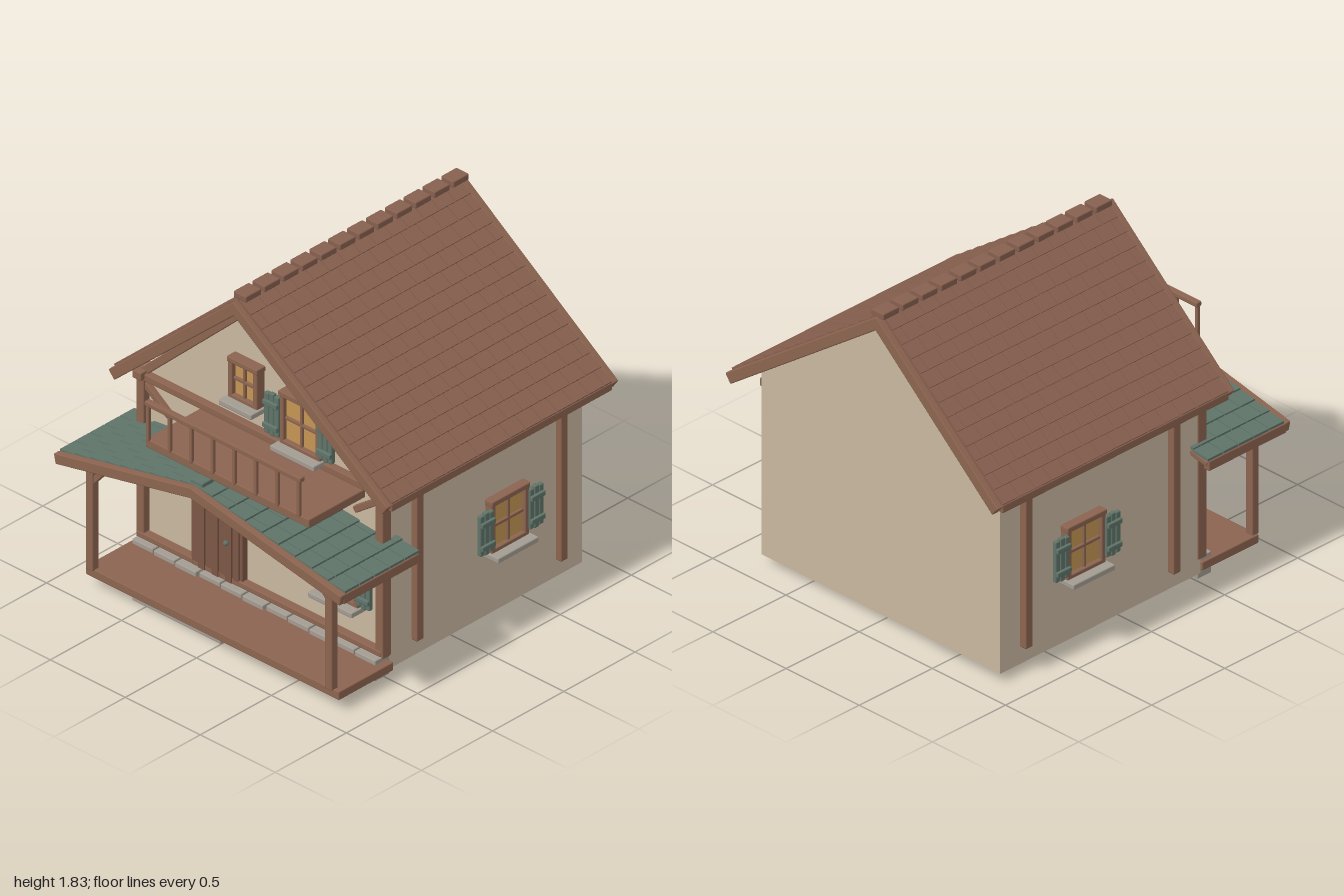
import * as THREE from 'three';
import { mergeGeometries } from 'three/addons/utils/BufferGeometryUtils.js';
import { RoundedBoxGeometry } from 'three/addons/geometries/RoundedBoxGeometry.js';

const paint = (name, color) => Object.assign(new THREE.MeshStandardMaterial({ color }), { name });

export function createModel() {
  const wall = paint('plaster', 0xc8b89f), wood = paint('timber', 0x8c6450);
  const tile = paint('clayTile', 0x87604f), green = paint('greenPaint', 0x5f7469);
  const stone = paint('stone', 0xa29c92), glow = paint('windowGlow', 0xc39453);
  const plankWood = paint('doorWood', 0x7c5644);

  const house = new THREE.Group();
  house.name = 'house';
  const add = (name, geo, mat, parent = house) => {
    const m = new THREE.Mesh(geo, mat);
    m.name = name;
    parent.add(m);
    return m;
  };
  // bevelled block given by its min and max on each axis
  const block = (name, mat, x0, x1, y0, y1, z0, z1, parent = house) => {
    const s = [x1 - x0, y1 - y0, z1 - z0];
    const m = add(name, new RoundedBoxGeometry(...s, 1, Math.min(0.006, Math.min(...s) * 0.25)), mat, parent);
    m.position.set((x0 + x1) / 2, (y0 + y1) / 2, (z0 + z1) / 2);
    return m;
  };
  // slanted beam between two points in the xy plane
  const beam = (name, mat, [ax, ay], [bx, by], thick, z0, z1) => {
    const l = Math.hypot(bx - ax, by - ay) / 2;
    const m = block(name, mat, -l, l, -thick / 2, thick / 2, z0, z1);
    m.position.x = (ax + bx) / 2;
    m.position.y = (ay + by) / 2;
    m.rotation.z = Math.atan2(by - ay, bx - ax);
    return m;
  };

  // plastered body with gable
  const outline = new THREE.Shape([[-0.83, 0.05], [0.8, 0.05], [0.8, 1.08], [-0.113, 1.735], [-0.83, 1.085]]
    .map(p => new THREE.Vector2(...p)));
  add('walls', new THREE.ExtrudeGeometry(outline, { depth: 1.371, bevelEnabled: false }), wall).position.z = -0.866;

  // one roof side: deck, staggered tiles and barge boards
  const roofSide = (name, [rx, ry], [ex, ey], z0, z1, rows, cols, mat, deck, board, ends) => {
    const len = Math.hypot(ex - rx, ey - ry), dx = (ex - rx) / len, dy = (ey - ry) / len;
    const s = Math.sign(dx), nx = -dy * s, ny = dx * s, a = Math.atan2(dy, dx);
    const at = (t, h) => [rx + dx * t + nx * h, ry + dy * t + ny * h];
    beam(name + 'Deck', wood, at(0, -deck / 2), at(len, -deck / 2), deck, z0, z1);
    for (const [b0, b1] of ends)
      beam(name + 'BargeBoard', wood, at(-0.01, -board / 2 + 0.012), at(len + 0.012, -board / 2 + 0.012), board, b0, b1);
    const parts = [], w = (z1 - z0) / cols, step = len / rows;
    for (let r = 0; r < rows; r++) {
      for (let c = 0; c <= cols; c++) {
        const shift = r % 2 ? 0.5 : 0;
        const za = Math.max(z0, z0 + (c - shift) * w), zb = Math.min(z1, z0 + (c + 1 - shift) * w);
        if (zb - za < 0.01) continue;
        const g = new THREE.BoxGeometry(step * 1.04, 0.016, zb - za - 0.005);
        g.rotateZ(a + s * 0.1);
        g.translate(...at((r + 0.5) * step, 0.009), (za + zb) / 2);
        parts.push(g);
      }
    }
    add(name + 'Tiles', mergeGeometries(parts), mat);
  };
  const ridgeCaps = (name, mat, x, y, w, z0, z1, n) => {
    const step = (z1 - z0) / n;
    for (let i = 0; i < n; i++)
      block(name, mat, x - w / 2, x + w / 2, y - 0.035, y, z0 + i * step + 0.012, z0 + (i + 1) * step - 0.012);
  };

  // main roof
  const mainEnds = [[0.588, 0.625], [-1, -0.96]];
  roofSide('leftRoof', [-0.113, 1.79], [0.9, 1.068], -0.96, 0.588, 14, 14, tile, 0.035, 0.06, mainEnds);
  roofSide('rightRoof', [-0.113, 1.79], [-0.93, 1.068], -0.96, 0.588, 13, 14, tile, 0.035, 0.06, mainEnds);
  ridgeCaps('ridgeCap', tile, -0.113, 1.832, 0.085, -1, 0.59, 12);
  for (const x of [-0.925, 0.893]) block('eaveBeam', wood, x - 0.018, x + 0.018, 1.03, 1.075, -0.96, 0.588);

  // porch roof
  const porchEnds = [[0.955, 0.995]];
  roofSide('leftPorchRoof', [-0.05, 0.93], [0.945, 0.743], 0.435, 0.96, 9, 5, green, 0.03, 0.058, porchEnds);
  roofSide('rightPorchRoof', [-0.05, 0.93], [-0.945, 0.743], 0.435, 0.96, 9, 5, green, 0.03, 0.058, porchEnds);
  ridgeCaps('porchRidgeCap', green, -0.05, 0.96, 0.08, 0.435, 0.96, 5);
  for (const x of [-0.935, 0.935]) block('porchEaveBeam', wood, x - 0.02, x + 0.02, 0.695, 0.75, 0.44, 0.97);

  // front wall timbers
  block('sillBeam', wood, -0.83, 0.8, 0.138, 0.17, 0.49, 0.55);
  block('tieBeam', wood, -0.83, 0.83, 1.035, 1.075, 0.49, 0.545);
  beam('gableRafter', wood, [-0.113, 1.72], [-0.82, 1.06], 0.045, 0.48, 0.53);
  beam('gableRafter', wood, [-0.113, 1.72], [0.8, 1.07], 0.04, 0.48, 0.53);
  for (const s of [-1, 1]) {
    const x = s < 0 ? -0.81 : 0.785;
    block('cornerPost', wood, x - 0.025, x + 0.025, 0.13, 1.05, 0.485, 0.545);
    block('plateEnd', wood, x - 0.03, x + 0.03, 1.045, 1.09, 0.45, 0.57);
    beam('wallBrace', wood, [x, 1.02], [x - s * 0.18, 0.89], 0.036, 0.49, 0.535);
    // porch posts and their braces
    block('porchPost', wood, x - 0.024, x + 0.024, 0.11, 0.755, 0.858, 0.902);
    beam('porchBrace', wood, [x, 0.6], [x - s * 0.12, 0.74], 0.032, 0.865, 0.895);
    // side wall timbers
    const side = s < 0 ? [-0.87, -0.82] : [0.79, 0.836];
    for (const z of [0.307, -0.705]) block('sidePost', wood, ...side, 0.145, 1.06, z - 0.024, z + 0.024);
    block('sideBeam', wood, ...side, 0.97, 1.015, -0.845, 0.475);
  }

  // porch floor, foundation stones and steps
  block('porchFloor', wood, -0.845, 0.845, 0.067, 0.115, 0.505, 0.89);
  for (let i = 0; i < 11; i++) {
    const x = -0.83 + i * 0.149, v = (i * 7) % 3 * 0.006;
    block('foundationStone', stone, x + 0.004, x + 0.143, 0.02 + v / 2, 0.14, 0.49, 0.585 + v);
  }
  block('lowerStep', stone, -0.59, 0, 0, 0.045, 0.705, 0.832);
  block('upperStep', stone, -0.56, -0.03, 0.04, 0.068, 0.645, 0.778);

  // balcony
  block('balconyFloor', wood, -0.435, 0.655, 0.97, 1.018, 0.49, 0.9);
  block('balconyRail', wood, -0.43, 0.61, 1.213, 1.24, 0.88, 0.915);
  for (let i = 0; i < 8; i++) {
    const x = -0.418 + i * 0.1437;
    block('baluster', wood, x - 0.01, x + 0.01, 1.01, 1.22, 0.888, 0.908);
  }

  // window facing +z, origin at the bottom centre of its frame
  const windowUnit = (name, w, h, shutters) => {
    const g = new THREE.Group(), f = 0.028, x = w / 2;
    g.name = name;
    house.add(g);
    block('pane', glow, -x + 0.01, x - 0.01, 0.01, h - 0.01, -0.02, 0.02, g);
    for (const s of [-1, 1]) block('frameSide', wood, s * (x - f / 2) - f / 2, s * (x - f / 2) + f / 2, 0, h, -0.02, 0.045, g);
    block('frameTop', wood, -x - 0.004, x + 0.004, h - f, h + 0.002, -0.02, 0.05, g);
    block('frameBottom', wood, -x, x, 0, f, -0.02, 0.045, g);
    block('mullion', wood, -0.008, 0.008, f, h - f, 0, 0.034, g);
    block('mullion', wood, -x + f, x - f, h / 2 - 0.009, h / 2 + 0.009, 0, 0.034, g);
    block('windowSill', stone, -x - 0.012, x + 0.012, -0.022, 0.008, -0.02, 0.098, g);
    if (!shutters) return g;
    for (const s of [-1, 1]) {
      const c = s * (x + 0.043);
      for (let i = -1; i <= 1; i++) {
        const p = c + i * 0.033, d = i ? 0 : 0.006;
        block('shutterBoard', green, p - 0.0155, p + 0.0155, 0.033 - d, h - 0.04 + d, 0.03, 0.056, g);
      }
      for (const y of [0.08, h - 0.09]) block('shutterBatten', green, c - 0.048, c + 0.048, y - 0.014, y + 0.014, 0.05, 0.07, g);
    }
    return g;
  };
  windowUnit('atticWindow', 0.195, 0.235, false).position.set(-0.113, 1.195, 0.515);
  windowUnit('balconyWindow', 0.27, 0.3, true).position.set(0.267, 1.08, 0.515);
  windowUnit('porchWindow', 0.27, 0.31, true).position.set(0.527, 0.36, 0.523);
  for (const [s, x] of [[-1, -0.83], [1, 0.8]]) {
    const g = windowUnit('sideWindow', 0.262, 0.3, true);
    g.position.set(x, 0.41, -0.317);
    g.rotation.y = s * Math.PI / 2;
  }

  // arched plank door
  const arch = x => 0.685 - 0.085 * Math.pow(Math.abs(x + 0.3) / 0.17, 2.4);
  const plank = (name, x0, x1, lift, depth, mat) => {
    const sh = new THREE.Shape();
    sh.moveTo(x0, 0.14);
    sh.lineTo(x1, 0.14);
    for (let i = 0; i <= 4; i++) {
      const x = x1 + (x0 - x1) * i / 4;
      sh.lineTo(x, arch(x) + lift);
    }
    add(name, new THREE.ExtrudeGeometry(sh, { depth, bevelEnabled: false }), mat).position.z = 0.49;
  };
  for (let i = 0; i < 7; i++) plank('doorPlank', -0.456 + i * 0.0446, -0.456 + i * 0.0446 + 0.041, -0.012, 0.06 + (i % 2) * 0.006, plankWood);
  for (let i = 0; i < 4; i++) plank('doorBacking', -0.47 + i * 0.085, -0.385 + i * 0.085, 0, 0.05, plankWood);
  const knob = add('doorKnob', new THREE.SphereGeometry(0.014, 12, 8), green);
  knob.position.set(-0.217, 0.365, 0.565);

  // porch lantern
  block('lantern', glow, 0.54, 0.58, 0.565, 0.632, 0.67, 0.71);
  return house;
}
